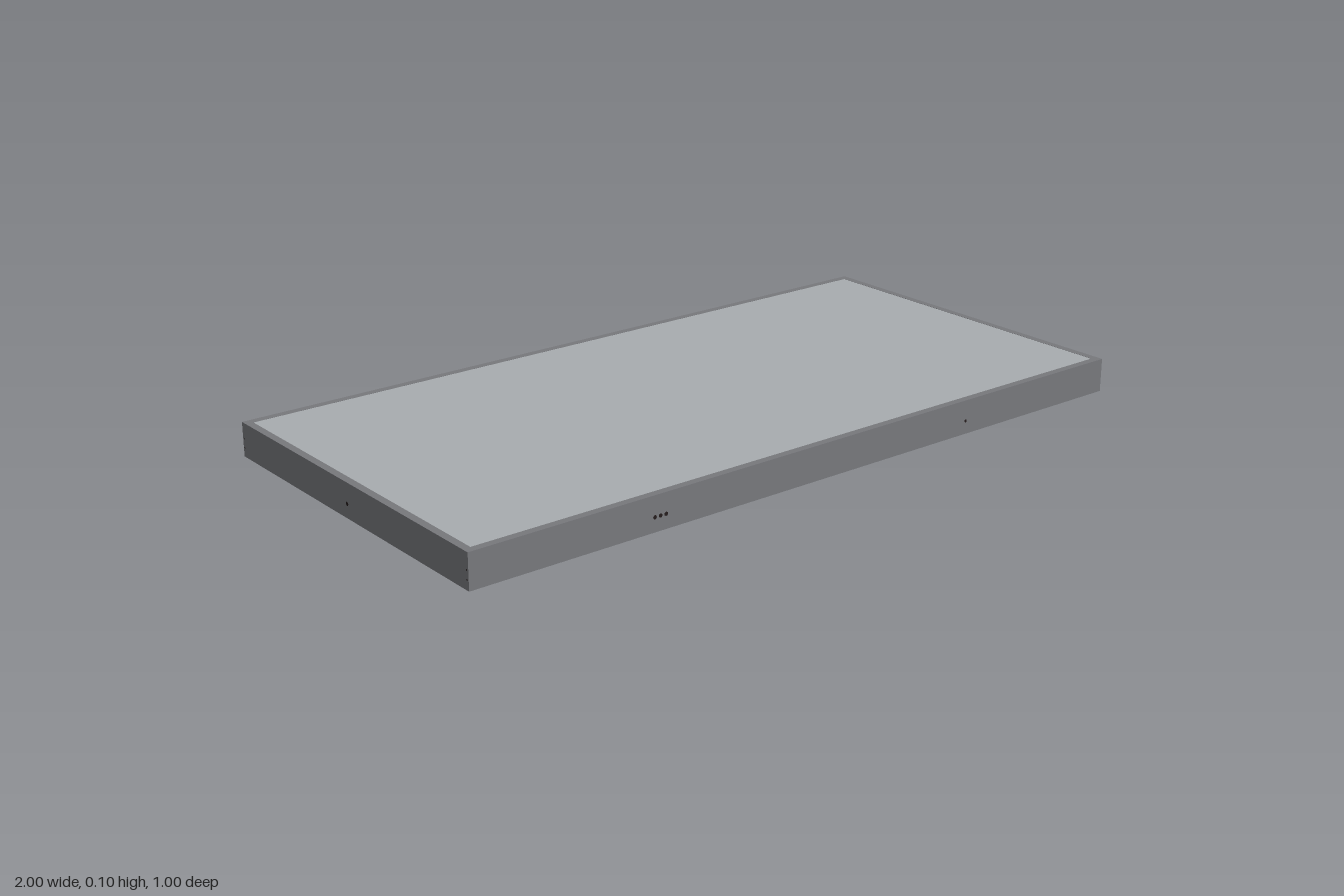
import * as THREE from 'three';

const mat = (name, color) => {
  const m = new THREE.MeshStandardMaterial({ color });
  m.name = name;
  return m;
};

// Mitred rectangular frame: sweeps a profile of [inset, y] points round the four corners
function frameGeometry(halfX, halfZ, profile) {
  const corners = [[1, 1], [1, -1], [-1, -1], [-1, 1]];
  const at = ([sx, sz], [d, y]) => [sx * (halfX - d), y, sz * (halfZ - d)];
  const pos = [];
  for (let c = 0; c < 4; c++) {
    const c0 = corners[c], c1 = corners[(c + 1) % 4];
    for (let i = 0; i < profile.length - 1; i++) {
      const p = profile[i], q = profile[i + 1];
      const a = at(c0, p), b = at(c1, p), e = at(c1, q), f = at(c0, q);
      pos.push(...a, ...b, ...e, ...a, ...e, ...f);
    }
  }
  const g = new THREE.BufferGeometry();
  g.setAttribute('position', new THREE.Float32BufferAttribute(pos, 3));
  g.computeVertexNormals();
  return g;
}

// Flat right-angled triangle filling an inner corner, with its top at y = 0
function cornerTriangle(sx, sz, x, z, leg, depth) {
  const shape = new THREE.Shape([[x, z], [x - leg, z], [x, z - leg]]
    .map(([px, pz]) => new THREE.Vector2(sx * px, sz * pz)));
  return new THREE.ExtrudeGeometry(shape, { depth, bevelEnabled: false }).rotateX(Math.PI / 2);
}

export function createModel() {
  const metal = mat('grey aluminium', 0x77787c);
  const deckTop = mat('light grey deck', 0xa8acaf);
  const board = mat('dark board', 0x241d1b);
  const steel = mat('dark steel', 0x3c3e42);
  const blue = mat('blue black plate', 0x2a3239);
  const black = mat('black', 0x241c1c);

  const model = new THREE.Group();
  model.name = 'stagePlatform';
  const add = (name, geo, material, x = 0, y = 0, z = 0, parent = model) => {
    const m = new THREE.Mesh(geo, material);
    m.name = name;
    m.position.set(x, y, z);
    parent.add(m);
  };
  // Box given by its limits
  const box = (name, material, x0, x1, y0, y1, z0, z1, parent) =>
    add(name, new THREE.BoxGeometry(Math.abs(x1 - x0), y1 - y0, Math.abs(z1 - z0)), material,
      (x0 + x1) / 2, (y0 + y1) / 2, (z0 + z1) / 2, parent);

  // Edge rails: outer wall with top lip, and a lower flange with a raised inner edge
  add('edgeFrame', frameGeometry(1, 0.5, [
    [0.07, 0.03], [0.07, 0.015], [0, 0.015], [0, 0.105], [0.02, 0.105], [0.02, 0.085], [0.045, 0.085],
  ]), metal);
  // Shaded inner web of the rails
  add('railWeb', frameGeometry(1, 0.5, [[0.045, 0.087], [0.045, 0.03], [0.07, 0.03]]), steel);

  // Deck board with its light top sheet
  box('deckBoard', board, -0.98, 0.98, 0.085, 0.1, -0.48, 0.48);
  box('deckSurface', deckTop, -0.98, 0.98, 0.1, 0.1045, -0.48, 0.48);

  // Cross bars under the deck
  for (const x of [-0.5, 0, 0.5]) box('crossBar', metal, x - 0.015, x + 0.015, 0.04, 0.086, -0.455, 0.455);

  // Corner hardware
  for (const sx of [-1, 1]) for (const sz of [-1, 1]) {
    const corner = new THREE.Group();
    corner.name = 'cornerBracket';
    model.add(corner);

    // Low gusset on the flange and a plate against the deck
    add('gusset', cornerTriangle(sx, sz, 0.945, 0.445, 0.1, 0.012), steel, 0, 0.032, 0, corner);
    add('cornerPlate', cornerTriangle(sx, sz, 0.955, 0.455, 0.17, 0.008), blue, 0, 0.086, 0, corner);

    // Latch plate, its arm, upright fin and clamp knob
    const z0 = sz > 0 ? 0.36 : -0.47;
    box('latchPlate', steel, sx * 0.885, sx * 0.95, 0.006, 0.016, z0 + 0.03, z0 + 0.085, corner);
    box('latchArm', steel, sx * 0.905, sx * 0.94, 0.008, 0.018, z0, z0 + 0.03, corner);
    box('latchFin', black, sx * 0.94, sx * 0.95, 0, 0.016, z0, z0 + 0.065, corner);
    add('clampKnob', new THREE.CylinderGeometry(0.013, 0.013, 0.024, 16), black,
      sx * 0.91, 0.016, z0 + 0.05, corner);
  }

  // Small connector holes in the side faces
  const hole = (x, y, z, r, end) => {
    const g = new THREE.CylinderGeometry(r, r, 0.002, 12);
    if (end) g.rotateZ(Math.PI / 2); else g.rotateX(Math.PI / 2);
    add('connectorHole', g, black, x, y, z);
  };
  for (const s of [-1, 1]) {
    hole(0.485, 0.05, s * 0.4995, 0.004, false);
    for (const dx of [-0.016, 0, 0.016]) hole(-0.49 + dx, 0.052, s * 0.4995, 0.005, false);
    hole(s * 0.9995, 0.052, 0, 0.005, true);
    for (const z of [-0.494, 0.494]) for (const y of [0.04, 0.063]) hole(s * 0.9995, y, z, 0.002, true);
  }
  return model;
}
